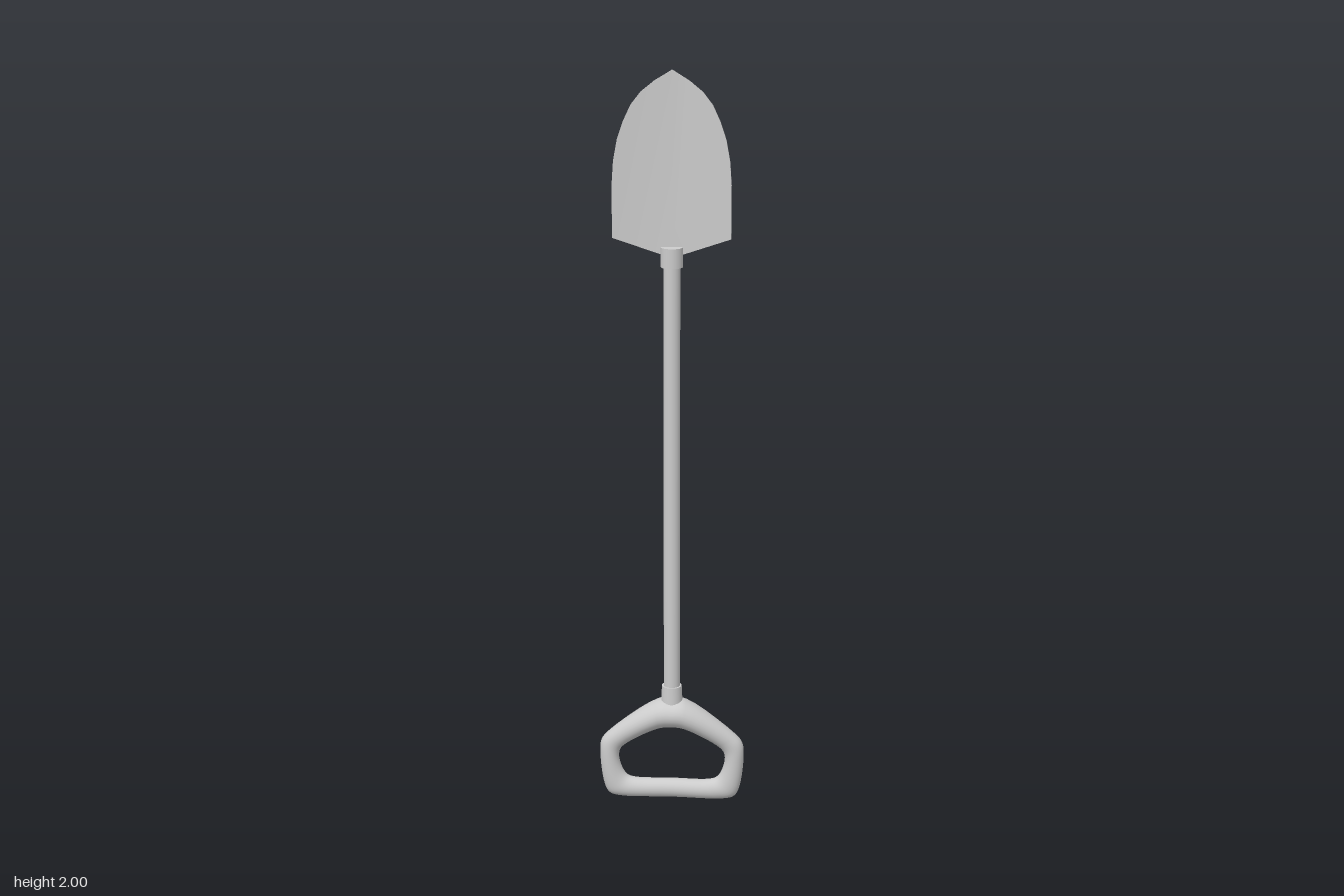
import * as THREE from 'three';
import { mergeGeometries, toCreasedNormals } from 'three/addons/utils/BufferGeometryUtils.js';

const material = new THREE.MeshStandardMaterial({ color: 0xcccccc });

function part(name, geometry) {
  const mesh = new THREE.Mesh(geometry, material);
  mesh.name = name;
  return mesh;
}

// Closed cylinder standing between two heights
function rod(name, radiusTop, radiusBottom, y0, y1) {
  const geometry = new THREE.CylinderGeometry(radiusTop, radiusBottom, y1 - y0, 32);
  geometry.translate(0, (y0 + y1) / 2, 0);
  return part(name, geometry);
}

// D-shaped grip: oval sections swept between an inner and an outer outline
function gripGeometry() {
  // inner x, inner y, outer x, outer y, half depth; from bottom centre to top centre
  const half = [
    [0, 0.053, 0, 0, 0.025],
    [0.1, 0.053, 0.15, 0, 0.025],
    [0.122, 0.06, 0.174, 0.009, 0.025],
    [0.136, 0.079, 0.187, 0.035, 0.025],
    [0.146, 0.115, 0.198, 0.125, 0.025],
    [0.142, 0.138, 0.194, 0.165, 0.025],
    [0.125, 0.156, 0.172, 0.192, 0.027],
    [0.035, 0.205, 0.04, 0.286, 0.048],
    [0, 0.21, 0, 0.29, 0.05],
  ];
  const mirrored = half.slice(1, -1).reverse().map(([a, b, c, d, e]) => [-a, b, -c, d, e]);
  const rows = [...half, ...mirrored];
  const inner = new THREE.CatmullRomCurve3(rows.map((r) => new THREE.Vector3(r[0], r[1], r[4])), true);
  const outer = new THREE.CatmullRomCurve3(rows.map((r) => new THREE.Vector3(r[2], r[3], r[4])), true);

  const steps = rows.length * 5, sides = 24;
  const positions = [], indices = [];
  for (let i = 0; i < steps; i++) {
    const a = inner.getPoint(i / steps), b = outer.getPoint(i / steps);
    for (let j = 0; j < sides; j++) {
      const t = (j / sides) * Math.PI * 2;
      const k = (1 + Math.cos(t)) / 2;
      positions.push(a.x + (b.x - a.x) * k, a.y + (b.y - a.y) * k, a.z * Math.sin(t));
      const i2 = (i + 1) % steps, j2 = (j + 1) % sides;
      const p = i * sides + j, q = i2 * sides + j, r = i2 * sides + j2, s = i * sides + j2;
      indices.push(p, q, r, p, r, s);
    }
  }
  const geometry = new THREE.BufferGeometry();
  geometry.setAttribute('position', new THREE.Float32BufferAttribute(positions, 3));
  geometry.setIndex(indices);
  geometry.computeVertexNormals();
  return geometry;
}

// Pointed blade, folded into a shallow V along its centre line
function bladeGeometry() {
  const outline = [
    [0, 1.515], [0.154, 1.57], [0.154, 1.71], [0.15, 1.77], [0.14, 1.825],
    [0.125, 1.87], [0.105, 1.913], [0.08, 1.945], [0.045, 1.973], [0, 2],
  ];
  const halves = [1, -1].map((side) => {
    const shape = new THREE.Shape(outline.map(([x, y]) => new THREE.Vector2(side * x, y)));
    return new THREE.ExtrudeGeometry(shape, { depth: 0.008, bevelEnabled: false });
  });
  const geometry = mergeGeometries(halves);
  const pos = geometry.attributes.position;
  for (let i = 0; i < pos.count; i++) {
    pos.setZ(i, pos.getZ(i) - 0.013 + Math.abs(pos.getX(i)) * 0.12);
  }
  return toCreasedNormals(geometry, 0.4);
}

export function createModel() {
  const group = new THREE.Group();
  group.name = 'shovel';
  group.add(
    part('grip', gripGeometry()),
    rod('gripSleeve', 0.027, 0.03, 0.27, 0.33),
    rod('shaft', 0.022, 0.022, 0.28, 1.53),
    rod('bladeCollar', 0.029, 0.029, 1.493, 1.545),
    part('blade', bladeGeometry()),
  );
  return group;
}
